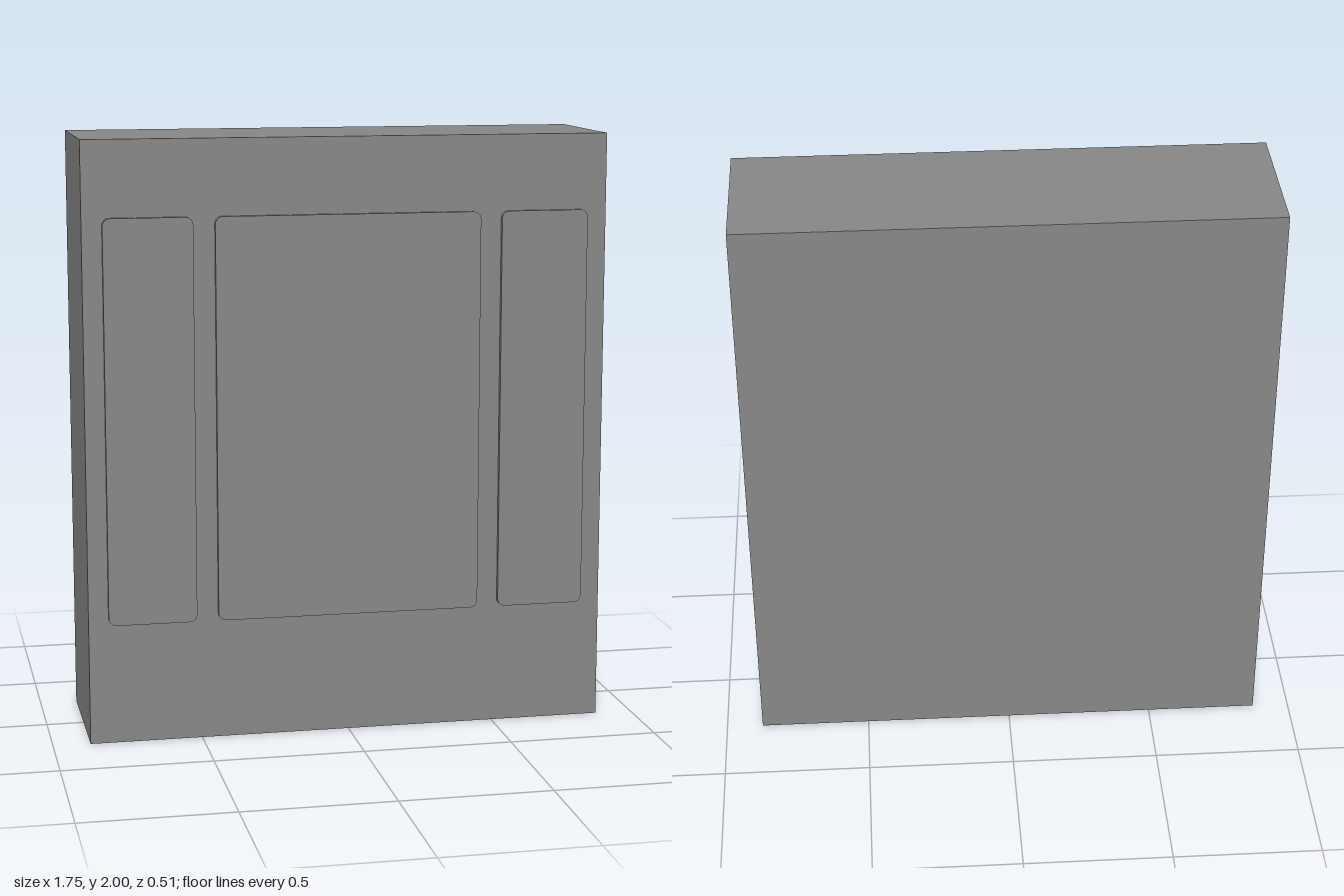
import * as THREE from 'three';

const material = new THREE.MeshStandardMaterial({ color: 0x888888 });

const BACK = -0.257, FACE = 0.242, FRONT = 0.257;
const PANEL_BOTTOM = 0.404, PANEL_TOP = 1.748, CORNER = 0.025;

// Rounded rectangle centred on the origin
function roundedRect(w, h, r) {
  const x = w / 2 - r, y = h / 2 - r;
  const s = new THREE.Shape();
  s.absarc(x, y, r, 0, Math.PI / 2);
  s.absarc(-x, y, r, Math.PI / 2, Math.PI);
  s.absarc(-x, -y, r, Math.PI, Math.PI * 1.5);
  s.absarc(x, -y, r, Math.PI * 1.5, Math.PI * 2);
  s.closePath();
  return s;
}

// Thin raised panel on the front face
function panel(name, x, width) {
  const geometry = new THREE.ExtrudeGeometry(
    roundedRect(width, PANEL_TOP - PANEL_BOTTOM, CORNER),
    { depth: FRONT - FACE, bevelEnabled: false, curveSegments: 8 }
  );
  const mesh = new THREE.Mesh(geometry, material);
  mesh.name = name;
  mesh.position.set(x, (PANEL_BOTTOM + PANEL_TOP) / 2, FACE);
  return mesh;
}

export function createModel() {
  const model = new THREE.Group();
  model.name = 'panelledBlock';

  // Solid slab
  const body = new THREE.Mesh(new THREE.BoxGeometry(1.75, 2, FACE - BACK), material);
  body.name = 'body';
  body.position.set(0, 1, (FACE + BACK) / 2);
  model.add(body);

  // Wide centre panel with a narrow one on each side
  model.add(
    panel('centrePanel', 0, 0.886),
    panel('leftPanel', 0.662, 0.294),
    panel('rightPanel', -0.662, 0.294)
  );
  return model;
}
